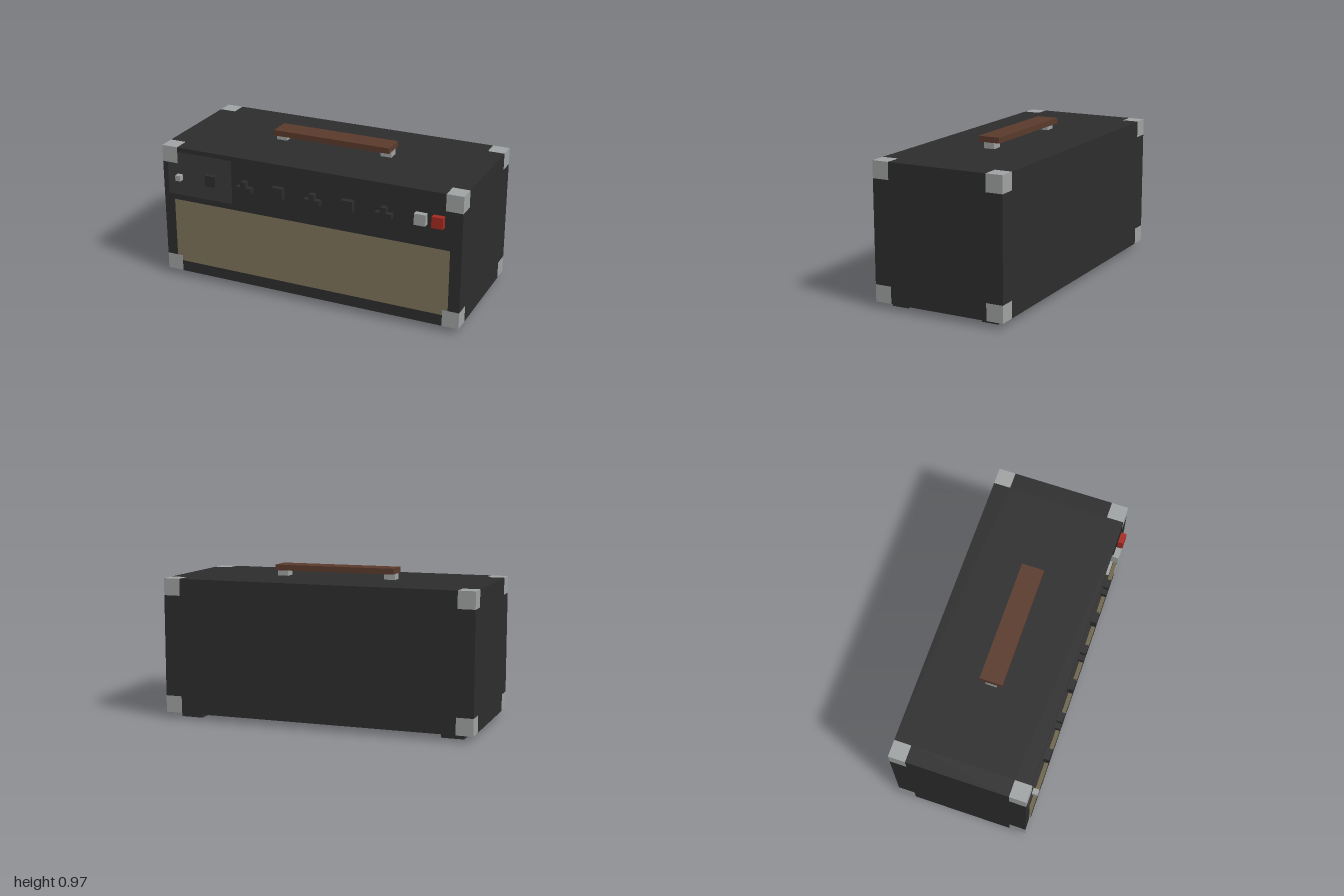
import * as THREE from 'three';
import { mergeGeometries } from 'three/addons/utils/BufferGeometryUtils.js';

const mat = (name, color, side = THREE.FrontSide) => {
  const m = new THREE.MeshStandardMaterial({ color, side });
  m.name = name;
  return m;
};

export function createModel() {
  const black = mat('black', 0x2d2d2d);
  const shellBlack = mat('black covering', 0x2d2d2d, THREE.DoubleSide);
  const metal = mat('metal', 0xa0a3a3);
  const cornerMetal = mat('corner metal', 0xa0a3a3, THREE.DoubleSide);
  const cloth = mat('grille cloth', 0x80755b, THREE.DoubleSide);
  const leather = mat('brown leather', 0x5a3a2c);
  const red = mat('red', 0xa52a20);

  const model = new THREE.Group();
  model.name = 'amplifierHead';

  const add = (name, geometry, material, parent = model) => {
    const mesh = new THREE.Mesh(geometry, material);
    mesh.name = name;
    parent.add(mesh);
    return mesh;
  };
  // Box given by its extents
  const box = (name, material, [x0, x1], [y0, y1], [z0, z1], parent) =>
    add(name, new THREE.BoxGeometry(x1 - x0, y1 - y0, z1 - z0)
      .translate((x0 + x1) / 2, (y0 + y1) / 2, (z0 + z1) / 2), material, parent);

  // Cabinet extents and corner size
  const X = 1, Y0 = 0.038, Y1 = 0.893, ZF = 0.411, ZB = -0.445, C = 0.107;
  const W = 2 * X, H = Y1 - Y0, D = ZF - ZB, YC = (Y0 + Y1) / 2, ZC = (ZF + ZB) / 2;

  // Wall with its four corners left free for the metal protectors
  const wall = (w, h) => {
    const a = w / 2, b = h / 2, p = a - C, q = b - C;
    const pts = [[-p, -b], [p, -b], [p, -q], [a, -q], [a, q], [p, q],
      [p, b], [-p, b], [-p, q], [-a, q], [-a, -q], [-p, -q]];
    return new THREE.ShapeGeometry(new THREE.Shape(pts.map(([x, y]) => new THREE.Vector2(x, y))));
  };

  const cabinet = new THREE.Group();
  cabinet.name = 'cabinet';
  model.add(cabinet);
  add('backWall', wall(W, H).rotateY(Math.PI).translate(0, YC, ZB), shellBlack, cabinet);
  for (const s of [-1, 1]) {
    add(s > 0 ? 'leftWall' : 'rightWall',
      wall(D, H).rotateY(s * Math.PI / 2).translate(s * X, YC, ZC), shellBlack, cabinet);
    add(s > 0 ? 'topWall' : 'bottomWall',
      wall(W, D).rotateX(-s * Math.PI / 2).translate(0, s > 0 ? Y1 : Y0, ZC), shellBlack, cabinet);
  }

  // Front frame around the open control bay and the grille
  const GX = 0.928, GY0 = 0.11, GY1 = 0.538, PX = 0.966, PY0 = 0.574, PY1 = 0.864;
  const strips = [
    [-X + C, X - C, PY1, Y1],
    [-X, -PX, PY0, Y1 - C], [PX, X, PY0, Y1 - C],
    [-X, X, GY1, PY0],
    [-X, -GX, Y0 + C, GY1], [GX, X, Y0 + C, GY1],
    [-X + C, X - C, Y0, GY0],
  ].map(([x0, x1, y0, y1]) => new THREE.PlaneGeometry(x1 - x0, y1 - y0)
    .translate((x0 + x1) / 2, (y0 + y1) / 2, ZF));
  add('frontFrame', mergeGeometries(strips), shellBlack, cabinet);

  // Grille cloth, notched around the lower corner protectors
  const p = X - C, n = Y0 + C;
  const grille = [[-p, GY0], [p, GY0], [p, n], [GX, n], [GX, GY1], [-GX, GY1], [-GX, n], [-p, n]];
  add('grille', new THREE.ShapeGeometry(new THREE.Shape(
    grille.map(([x, y]) => new THREE.Vector2(x, y)))).translate(0, 0, ZF), cloth);

  // Flush metal protectors on all eight corners
  for (const sx of [-1, 1]) for (const sy of [-1, 1]) for (const sz of [-1, 1]) {
    const x = sx * X, y = sy > 0 ? Y1 : Y0, z = sz > 0 ? ZF : ZB;
    const cx = x - sx * C / 2, cy = y - sy * C / 2, cz = z - sz * C / 2;
    const sq = () => new THREE.PlaneGeometry(C, C);
    add('cornerProtector', mergeGeometries([
      sq().rotateY(sx * Math.PI / 2).translate(x, cy, cz),
      sq().rotateX(-sy * Math.PI / 2).translate(cx, y, cz),
      sq().rotateY(sz > 0 ? 0 : Math.PI).translate(cx, cy, z),
    ]), cornerMetal);
  }

  // Controls along the front
  const controls = new THREE.Group();
  controls.name = 'controls';
  model.add(controls);
  const CZ = [ZF, 0.447], CY = 0.681, U = 0.0357;
  box('inputJack', metal, [-0.895, -0.895 + U], [CY, CY + U], CZ, controls);
  for (let i = 0; i < 3; i++) {
    const k = -0.68 + i * 0.464, t = -0.466 + i * 0.464;
    box('squareKnob', black, [k, k + 2 * U], [CY, CY + 2 * U], CZ, controls);
    box('pointerKnobBase', black, [t, t + 3 * U], [CY, CY + U], CZ, controls);
    box('pointerKnobTip', black, [t + U, t + 2 * U], [CY + U, CY + 2 * U], CZ, controls);
  }
  box('standbySwitch', metal, [0.711, 0.711 + 2 * U], [CY, CY + 2 * U], CZ, controls);
  box('powerSwitch', red, [0.819, 0.819 + 2 * U], [CY, CY + 2 * U], CZ, controls);

  // Carrying handle on two metal posts
  box('handle', leather, [-0.393, 0.391], [0.93, 0.966], [-0.088, 0.054]);
  for (const x of [-0.393, 0.32])
    box('handlePost', metal, [x, x + 2 * U], [Y1, 0.93], [-0.053, 0.018]);

  // Feet
  for (const x of [-0.928, 0.785]) for (const z of [0.234, -0.374])
    box('foot', black, [x, x + 0.142], [0, Y0], [z, z + 0.107]);

  return model;
}
